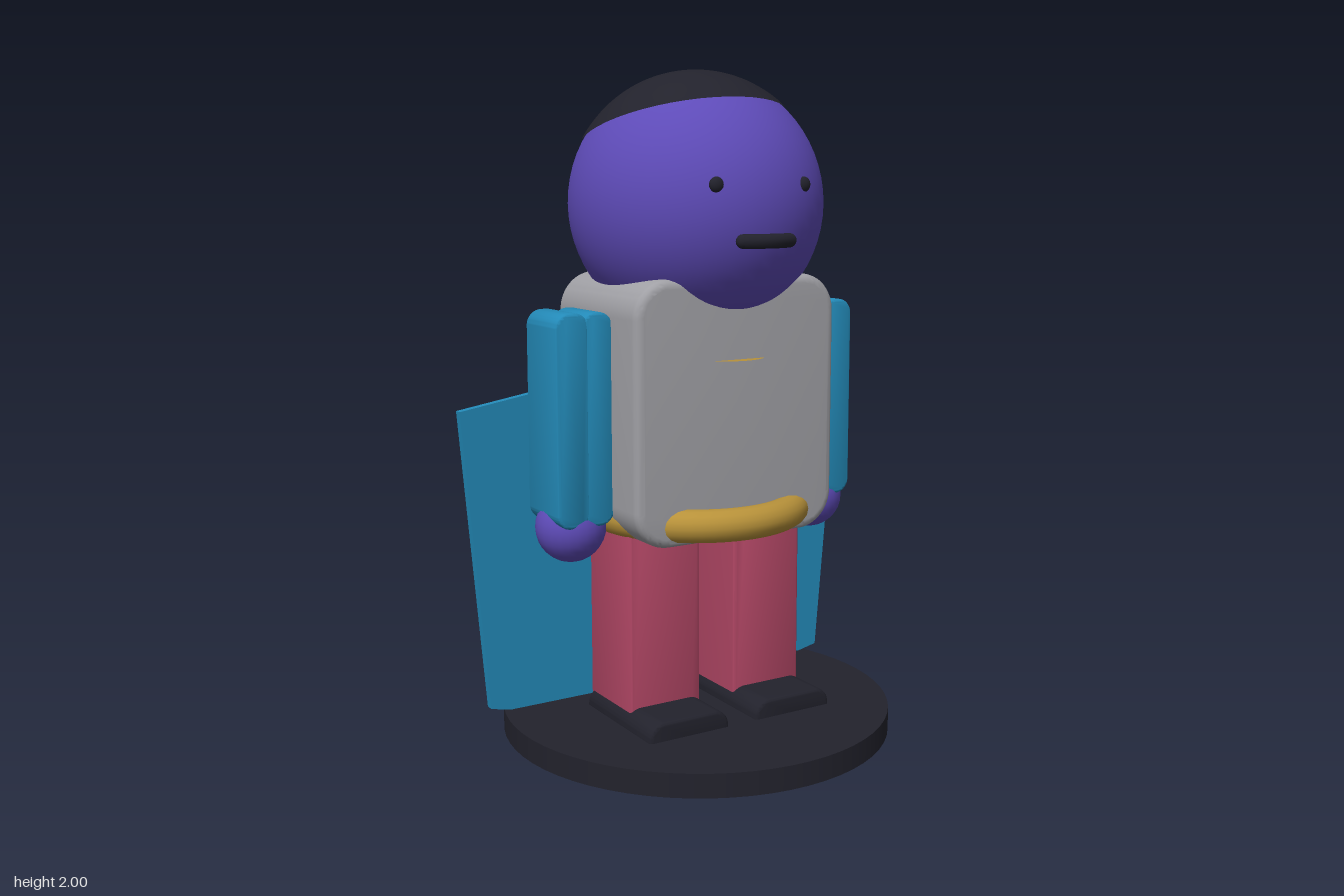
import * as THREE from 'three';
import { toCreasedNormals } from 'three/addons/utils/BufferGeometryUtils.js';

const mat = (name, color, side = THREE.FrontSide) => {
  const m = new THREE.MeshStandardMaterial({ color, side });
  m.name = name;
  return m;
};

// Rounded rectangle in the front plane, extruded along z with a small bevel
function roundedSlab(x0, x1, y0, y1, z0, z1, r, bevel) {
  const a = x0 + bevel, b = x1 - bevel, c = y0 + bevel, d = y1 - bevel;
  const k = Math.max(r - bevel, 0.002);
  const s = new THREE.Shape();
  s.moveTo(a + k, c);
  s.lineTo(b - k, c);
  s.absarc(b - k, c + k, k, -Math.PI / 2, 0);
  s.lineTo(b, d - k);
  s.absarc(b - k, d - k, k, 0, Math.PI / 2);
  s.lineTo(a + k, d);
  s.absarc(a + k, d - k, k, Math.PI / 2, Math.PI);
  s.lineTo(a, c + k);
  s.absarc(a + k, c + k, k, Math.PI, Math.PI * 1.5);
  const g = new THREE.ExtrudeGeometry(s, {
    depth: z1 - z0 - 2 * bevel, bevelEnabled: true, bevelSize: bevel,
    bevelThickness: bevel, bevelSegments: 4, curveSegments: 8,
  });
  g.translate(0, 0, z0 + bevel);
  return toCreasedNormals(g, 0.7);
}

export function createModel() {
  const model = new THREE.Group();
  model.name = 'figurine';
  const purple = mat('purple skin', 0x5e4bb8);
  const grey = mat('grey shirt', 0xa0a0a5);
  const blue = mat('blue cloth', 0x238ab8);
  const red = mat('crimson trousers', 0xb04664);
  const gold = mat('gold trim', 0xb8923a);
  const black = mat('charcoal', 0x22222c);
  const goldSheet = gold;

  const add = (name, geometry, material, x = 0, y = 0, z = 0) => {
    const mesh = new THREE.Mesh(geometry, material);
    mesh.name = name;
    mesh.position.set(x, y, z);
    model.add(mesh);
    return mesh;
  };

  // Round stand
  add('base', new THREE.CylinderGeometry(0.597, 0.597, 0.07, 64), black, 0, 0.081, 0).scale.x = 0.977;

  // Head with a cap of hair tilted backwards
  const headY = 1.62;
  add('head', new THREE.SphereGeometry(0.376, 48, 32), purple, 0, headY, 0).scale.x = 0.985;
  const hair = new THREE.SphereGeometry(0.38, 48, 20, 0, Math.PI * 2, 0, 0.975);
  hair.rotateX(-0.29);
  add('hair', hair, black, 0, headY, 0).scale.x = 0.985;

  // Mouth: a short curved bar with round ends
  const mouthEnds = [[-0.076, 1.525, 0.368], [0.076, 1.525, 0.368]].map(p => new THREE.Vector3(...p));
  const mouthPath = new THREE.QuadraticBezierCurve3(mouthEnds[0], new THREE.Vector3(0, 1.525, 0.408), mouthEnds[1]);
  add('mouth', new THREE.TubeGeometry(mouthPath, 16, 0.02, 10), black);
  for (const p of mouthEnds) add('mouthEnd', new THREE.SphereGeometry(0.02, 12, 8), black, p.x, p.y, p.z);

  // Body and belt
  add('torso', roundedSlab(-0.335, 0.335, 0.665, 1.42, -0.235, 0.238, 0.11, 0.025), grey);
  const belt = new THREE.TorusGeometry(0.295, 0.048, 16, 64);
  belt.rotateX(Math.PI / 2);
  add('belt', belt, gold, 0, 0.725, 0);

  // Thin badge standing out from the chest
  const badge = new THREE.CircleGeometry(0.12, 32);
  badge.rotateX(-Math.PI / 2);
  add('chestBadge', badge, goldSheet, 0, 1.187, 0.155);

  // Paired parts
  for (const s of [-1, 1]) {
    const span = (a, b) => (s > 0 ? [a, b] : [-b, -a]);
    add('eye', new THREE.SphereGeometry(0.022, 16, 12), black, s * 0.142, 1.676, 0.338).scale.z = 0.7;
    add('sleeveOuter', roundedSlab(...span(0.4, 0.506), 0.72, 1.327, -0.095, 0.095, 0.045, 0.01), blue);
    add('sleeveInner', roundedSlab(...span(0.325, 0.425), 0.72, 1.327, -0.095, 0.095, 0.045, 0.01), blue);
    add('hand', new THREE.SphereGeometry(0.102, 24, 16), purple, s * 0.42, 0.707, 0);
    add('leg', roundedSlab(...span(0.06, 0.295), 0.032, 0.73, -0.122, 0.123, 0.05, 0.008), red);
    add('shoe', roundedSlab(...span(0.047, 0.312), 0.06, 0.17, -0.115, 0.265, 0.05, 0.01), black);
  }

  // Flat cape behind the body
  const outline = new THREE.Shape([
    [0, 0.003], [0.595, 0.13], [0.672, 1.033], [0.34, 1.086], [-0.34, 1.086], [-0.672, 1.033], [-0.595, 0.13],
  ].map(p => new THREE.Vector2(...p)));
  add('cape', new THREE.ExtrudeGeometry(outline, { depth: 0.026, bevelEnabled: false }), blue, 0, 0, -0.219);

  return model;
}
